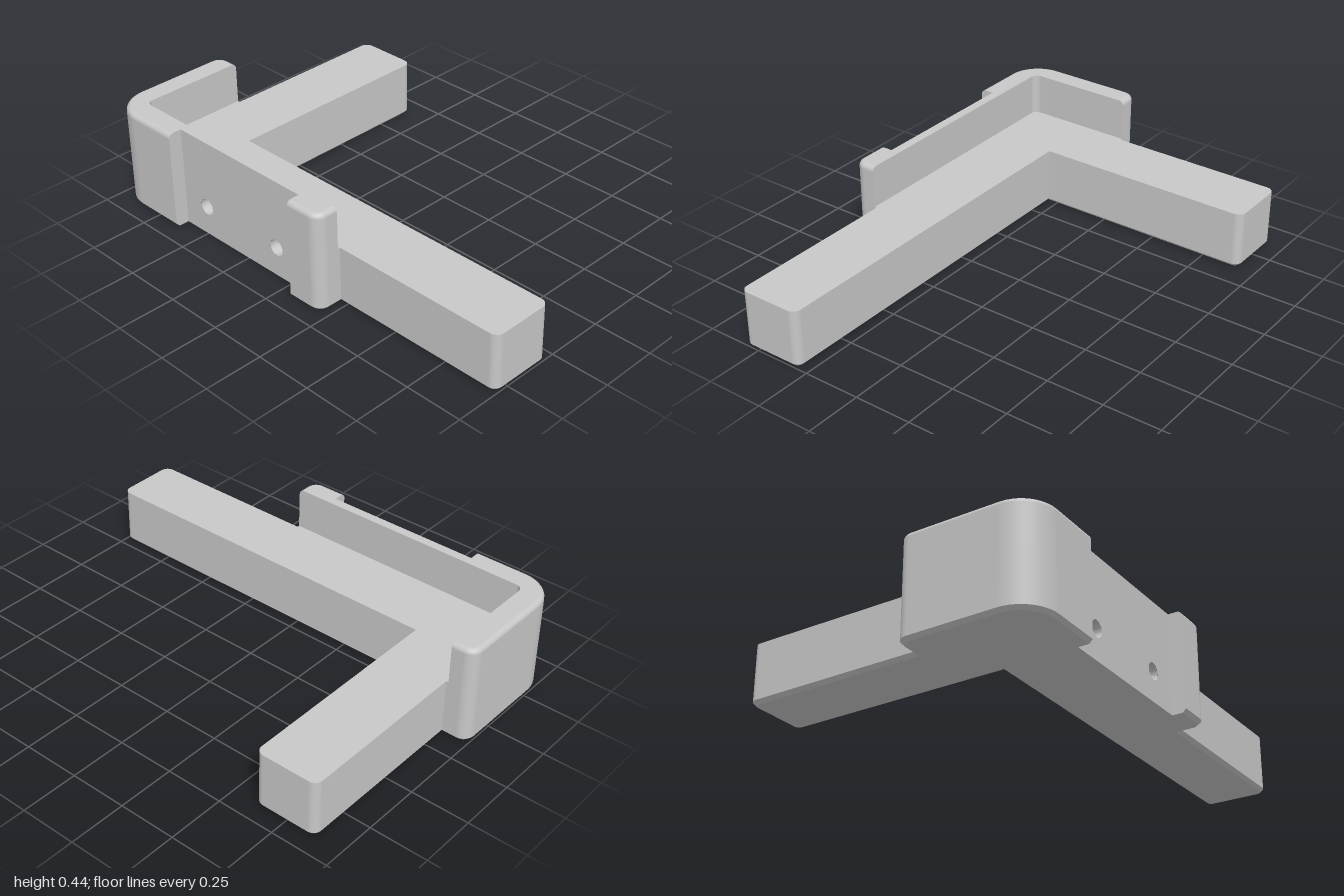
import * as THREE from 'three';

const BASE_H = 0.252, WALL_H = 0.435;
const BEVEL = 1, PLAIN = 0, OPEN = -1; // how the edge leaving a corner is treated

// Outside of the guard wall, shared by the base and the wall: x, z, corner radius, edge kind
const outer = [
  [-0.098, -1, 0.05, BEVEL], [-0.675, -1, 0.15, BEVEL], [-0.675, -0.628, 0, PLAIN],
  [-0.615, -0.628, 0, OPEN], [-0.615, 0.06, 0, PLAIN], [-0.675, 0.06, 0, BEVEL],
  [-0.675, 0.223, 0.05, BEVEL],
];
const baseCorners = [
  ...outer, [-0.565, 0.223, 0, BEVEL], [-0.565, 1, 0.035, BEVEL], [-0.288, 1, 0.035, BEVEL],
  [-0.288, -0.608, 0, BEVEL], [0.675, -0.608, 0.035, BEVEL], [0.675, -0.887, 0.035, BEVEL],
  [-0.098, -0.887, 0, BEVEL],
];
const wallCorners = [
  ...outer, [-0.575, 0.223, 0, PLAIN], [-0.575, -0.897, 0.03, PLAIN], [-0.098, -0.897, 0, BEVEL],
];

// Expand square corners into points that carry the normals and kinds of both adjoining edges
function makeOutline(corners) {
  const n = corners.length, points = [];
  const dir = (a, b) => new THREE.Vector2(b[0] - a[0], b[1] - a[1]).normalize();
  corners.forEach((c, i) => {
    const prev = corners[(i + n - 1) % n];
    const d0 = dir(prev, c), d1 = dir(c, corners[(i + 1) % n]);
    const n0 = new THREE.Vector2(-d0.y, d0.x), n1 = new THREE.Vector2(-d1.y, d1.x);
    const p = new THREE.Vector2(c[0], c[1]), r = c[2];
    if (!r) {
      points.push({ p, nIn: n0, nOut: n1, kIn: prev[3], kOut: c[3] });
      return;
    }
    const side = -Math.sign(d0.dot(n1)); // +1 convex, -1 concave
    const centre = p.clone().addScaledVector(d0, -r).addScaledVector(d1, r);
    for (let s = 0; s <= 10; s++) {
      const a = (s / 10) * Math.PI / 2;
      const m = n0.clone().multiplyScalar(Math.cos(a)).addScaledVector(n1, Math.sin(a));
      points.push({
        p: centre.clone().addScaledVector(m, -r * side), nIn: m, nOut: m,
        kIn: s ? c[3] : prev[3], kOut: c[3],
      });
    }
  });
  return points;
}

// Pull a point inward from its bevelled edges
function inset(q, amount) {
  const p = q.p.clone();
  if (q.nIn === q.nOut) return p.addScaledVector(q.nIn, q.kOut === BEVEL ? -amount : 0);
  if (q.kIn === BEVEL) p.addScaledVector(q.nIn, -amount);
  if (q.kOut === BEVEL) p.addScaledVector(q.nOut, -amount);
  return p;
}

// Sides between pairs of levels, each level being [y, inset, normal tilt]
function makeSides(outline, bands) {
  const pos = [], nor = [], idx = [];
  for (const [lo, hi] of bands) {
    outline.forEach((a, i) => {
      if (a.kOut === OPEN) return;
      const b = outline[(i + 1) % outline.length], k = pos.length / 3;
      for (const [q, m, level] of [[a, a.nOut, lo], [b, b.nIn, lo], [b, b.nIn, hi], [a, a.nOut, hi]]) {
        const p = inset(q, level[1]), tilt = a.kOut === BEVEL ? level[2] : 0;
        pos.push(p.x, level[0], p.y);
        nor.push(m.x * Math.cos(tilt), Math.sin(tilt), m.y * Math.cos(tilt));
      }
      idx.push(k, k + 1, k + 2, k, k + 2, k + 3);
    });
  }
  const g = new THREE.BufferGeometry();
  g.setAttribute('position', new THREE.Float32BufferAttribute(pos, 3));
  g.setAttribute('normal', new THREE.Float32BufferAttribute(nor, 3));
  g.setIndex(idx);
  return g;
}

// Flat cap facing up (dir 1) or down (dir -1)
function makeCap(outline, y, amount, dir) {
  const pts = outline.map((q) => {
    const p = inset(q, amount);
    return new THREE.Vector2(p.x, -dir * p.y);
  });
  return new THREE.ShapeGeometry(new THREE.Shape(pts)).rotateX(-dir * Math.PI / 2).translate(0, y, 0);
}

export function createModel() {
  const model = new THREE.Group();
  model.name = 'cornerBracket';
  const grey = new THREE.MeshStandardMaterial({ color: 0xc8c8c8 });
  grey.name = 'lightGrey';
  const add = (name, geometry) => {
    const mesh = new THREE.Mesh(geometry, grey);
    mesh.name = name;
    model.add(mesh);
  };

  // L-shaped base with a chamfered underside
  const base = makeOutline(baseCorners), ch = 0.015, t = -Math.PI / 4;
  add('baseSides', makeSides(base, [
    [[0, ch, t], [ch, 0, t]],
    [[ch, 0, 0], [BASE_H, 0, 0]],
  ]));
  add('baseTop', makeCap(base, BASE_H, 0, 1));
  add('baseUnderside', makeCap(base, 0, ch, -1));

  // Raised guard wall with a rounded outer top edge
  const wall = makeOutline(wallCorners), r = 0.022, steps = 6;
  const round = Array.from({ length: steps + 1 }, (_, i) => {
    const a = (i / steps) * Math.PI / 2;
    return [WALL_H - r + r * Math.sin(a), r * (1 - Math.cos(a)), a];
  });
  const bands = [[[BASE_H, 0, 0], round[0]]];
  for (let i = 0; i < steps; i++) bands.push([round[i], round[i + 1]]);
  add('wallSides', makeSides(wall, bands));
  add('wallTop', makeCap(wall, WALL_H, r, 1));

  // Recessed outer panel with two blind screw holes
  const panel = new THREE.Shape([[-0.628, 0], [0.06, 0], [0.06, WALL_H], [-0.628, WALL_H]]
    .map(([z, y]) => new THREE.Vector2(z, y)));
  const holeR = 0.035, depth = 0.15, holeY = 0.13;
  for (const z of [-0.495, -0.08]) {
    panel.holes.push(new THREE.Path().absarc(z, holeY, holeR, 0, Math.PI * 2, true));
    const bore = new THREE.CylinderGeometry(holeR, holeR, depth, 24, 1, true);
    bore.scale(-1, 1, 1); // turn the tube inside out
    bore.computeVertexNormals();
    add('screwHole', bore.rotateZ(Math.PI / 2).translate(-0.615 + depth / 2, holeY, z));
    add('screwHoleEnd', new THREE.CircleGeometry(holeR, 24).rotateY(-Math.PI / 2)
      .translate(-0.615 + depth, holeY, z));
  }
  add('recessPanel', new THREE.ShapeGeometry(panel, 24).rotateY(-Math.PI / 2).translate(-0.615, 0, 0));

  return model;
}
